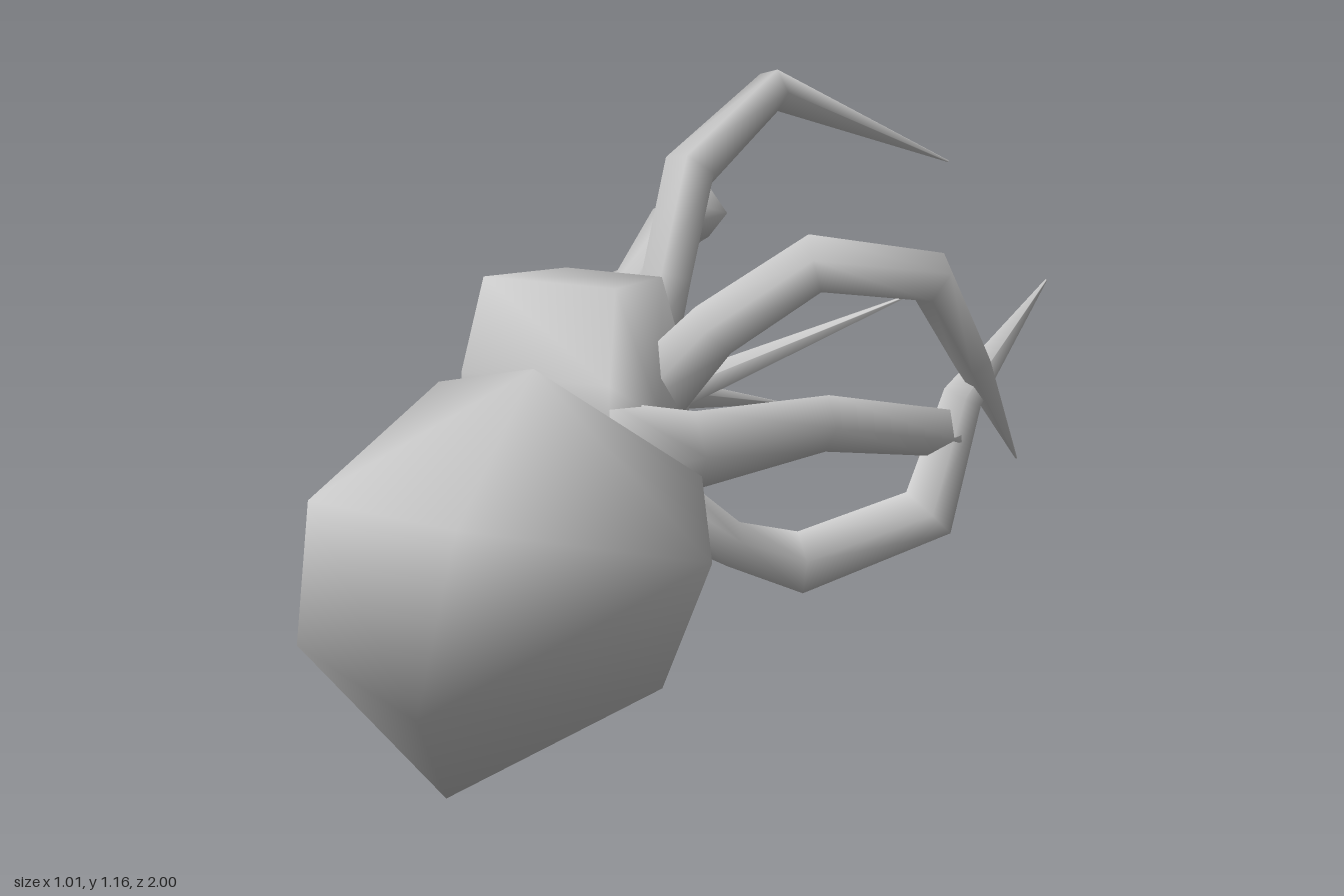
import * as THREE from 'three';
import { mergeVertices } from 'three/addons/utils/BufferGeometryUtils.js';
import { ConvexGeometry } from 'three/addons/geometries/ConvexGeometry.js';

const material = new THREE.MeshStandardMaterial({ color: 0xcccccc });

// Rounded-looking low-poly lump: convex hull of a few corners with shared normals
function lump(name, corners) {
  let g = new ConvexGeometry(corners.map((c) => new THREE.Vector3(...c)));
  g.deleteAttribute('normal');
  g = mergeVertices(g, 1e-4);
  g.computeVertexNormals();
  const mesh = new THREE.Mesh(g, material);
  mesh.name = name;
  return mesh;
}

// Tapered tube through stations [x, y, z, radius], closed at both ends
function limb(name, stations, sides = 5) {
  const pts = stations.map((s) => new THREE.Vector3(s[0], s[1], s[2]));
  const dirs = pts.slice(1).map((p, i) => p.clone().sub(pts[i]).normalize());
  const n = pts.length;
  const pos = [], idx = [];
  let normal = null;
  for (let i = 0; i < n; i++) {
    const t = dirs[Math.max(i - 1, 0)].clone().add(dirs[Math.min(i, n - 2)]).normalize();
    if (!normal) normal = new THREE.Vector3(Math.abs(t.x) > 0.8 ? 0 : 1, Math.abs(t.x) > 0.8 ? 1 : 0, 0);
    // carry the frame along so the tube does not twist
    normal = normal.clone().addScaledVector(t, -normal.dot(t)).normalize();
    const side = t.clone().cross(normal);
    for (let k = 0; k < sides; k++) {
      const a = (k / sides) * Math.PI * 2;
      const p = pts[i].clone()
        .addScaledVector(normal, Math.cos(a) * stations[i][3])
        .addScaledVector(side, Math.sin(a) * stations[i][3]);
      pos.push(p.x, p.y, p.z);
    }
  }
  for (let i = 0; i < n - 1; i++) {
    for (let k = 0; k < sides; k++) {
      const a = i * sides + k, b = i * sides + ((k + 1) % sides);
      idx.push(a, b, b + sides, a, b + sides, a + sides);
    }
  }
  const last = (n - 1) * sides;
  for (let k = 1; k < sides - 1; k++) {
    idx.push(0, k + 1, k, last, last + k, last + k + 1);
  }
  const g = new THREE.BufferGeometry();
  g.setAttribute('position', new THREE.Float32BufferAttribute(pos, 3));
  g.setIndex(idx);
  g.computeVertexNormals();
  const mesh = new THREE.Mesh(g, material);
  mesh.name = name;
  return mesh;
}

export function createModel() {
  const group = new THREE.Group();
  group.name = 'spider';

  // Large faceted abdomen
  group.add(lump('abdomen', [
    [-0.06, 0, 0.64], [0.13, 0.768, 0.63], [-0.31, 0.36, 0.65], [0.467, 0.49, 0.61],
    [0.25, 0.2, 0.44], [-0.2, 0.68, 0.47], [0.31, 0.57, 0.41], [0.08, 0.65, 0.4],
    [-0.09, 0.58, 0.935], [0.18, 0.28, 1], [0.2, 0.57, 0.92], [-0.2, 0.3, 0.85],
    [0.06, 0.38, 0.3], [-0.2, 0.42, 0.42],
  ]));

  // Body the legs grow from
  group.add(lump('thorax', [
    [-0.33, 0.81, 0.18], [-0.04, 0.815, 0.17], [-0.06, 0.81, 0], [-0.3, 0.8, -0.03],
    [-0.37, 0.52, 0.2], [-0.36, 0.65, 0], [-0.28, 0.66, 0.31], [-0.28, 0.44, 0.25],
    [0.08, 0.6, 0.2], [0.04, 0.67, 0.3], [0.02, 0.41, 0.28], [0.02, 0.44, 0.06],
    [0.02, 0.62, 0.02], [-0.2, 0.4, 0.1], [-0.22, 0.55, -0.1], [-0.22, 0.72, -0.13],
  ]));

  // Narrow joint between thorax and abdomen
  group.add(limb('waist', [[-0.06, 0.53, 0.22, 0.13], [-0.04, 0.52, 0.32, 0.12], [-0.02, 0.5, 0.46, 0.14]], 7));

  // Curled legs: base, knees, tip
  const legs = {
    upperLeftLeg: [[-0.02, 0.6, 0.1, 0.07], [0.1, 0.74, 0.06, 0.055], [0.27, 0.865, 0, 0.055],
      [0.425, 0.835, -0.14, 0.05], [0.415, 0.66, -0.31, 0.035], [0.39, 0.43, -0.53, 0.002]],
    middleLeftLeg: [[0, 0.53, 0.26, 0.12], [0.1, 0.54, 0.13, 0.075], [0.25, 0.57, -0.06, 0.055],
      [0.35, 0.52, -0.31, 0.05], [0.27, 0.41, -0.44, 0.035], [0.14, 0.26, -0.61, 0.002]],
    lowerLeftLeg: [[0, 0.45, 0.16, 0.07], [0.09, 0.33, 0, 0.045], [0.16, 0.28, -0.12, 0.06],
      [0.34, 0.37, -0.28, 0.06], [0.37, 0.58, -0.35, 0.04], [0.5, 0.8, -0.425, 0.002]],
    topLeg: [[-0.09, 0.66, 0, 0.06], [-0.08, 0.8, -0.05, 0.05], [-0.085, 0.99, -0.13, 0.052],
      [-0.05, 1.12, -0.35, 0.042], [0.08, 0.945, -0.79, 0.002]],
    lowerRightLeg: [[-0.12, 0.47, 0.15, 0.07], [-0.25, 0.42, 0, 0.05], [-0.35, 0.37, -0.16, 0.05],
      [-0.41, 0.39, -0.31, 0.055], [-0.38, 0.46, -0.43, 0.04], [0.05, 0.685, -0.7, 0.002]],
    longRightLeg: [[-0.26, 0.55, 0.04, 0.07], [-0.4, 0.56, -0.1, 0.05], [-0.45, 0.5, -0.3, 0.045],
      [-0.45, 0.46, -0.5, 0.04], [-0.447, 0.35, -1, 0.002]],
    middleRightLeg: [[-0.3, 0.65, 0.04, 0.065], [-0.44, 0.68, -0.08, 0.05], [-0.46, 0.67, -0.28, 0.05],
      [-0.42, 0.7, -0.4, 0.045], [-0.36, 0.75, -0.42, 0.035]],
    upperRightLeg: [[-0.16, 0.7, -0.02, 0.065], [-0.19, 0.87, -0.23, 0.05], [-0.22, 0.87, -0.36, 0.05],
      [-0.31, 0.81, -0.41, 0.045], [-0.36, 0.71, -0.38, 0.035]],
  };
  for (const [name, stations] of Object.entries(legs)) group.add(limb(name, stations));

  return group;
}
